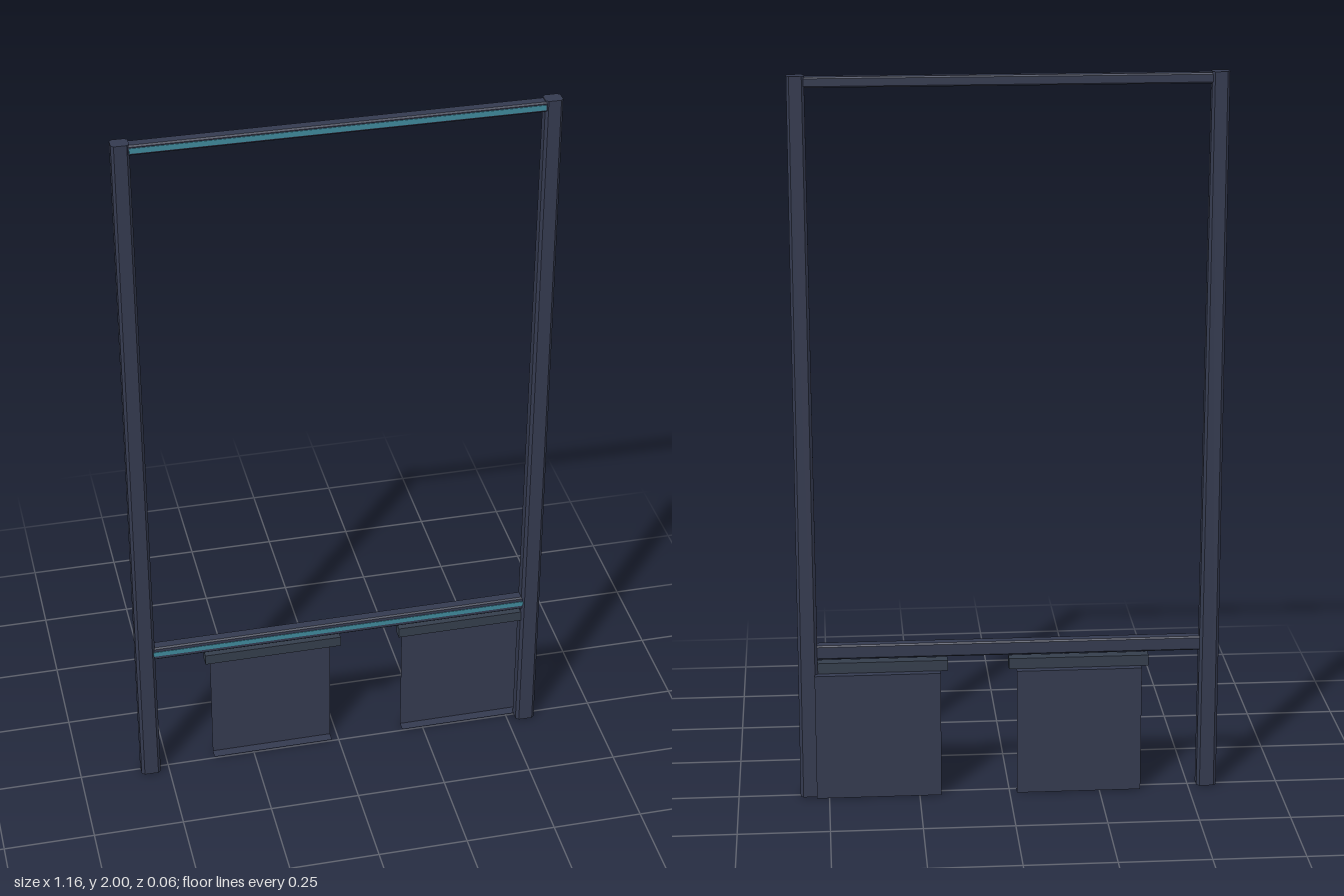
import * as THREE from 'three';

const mat = (name, color, side = THREE.FrontSide) => {
  const m = new THREE.MeshStandardMaterial({ color, side });
  m.name = name;
  return m;
};

// Bar with chamfered long edges, running along z from 0 to length
function chamferedBar(w, d, c, length) {
  const x = w / 2, y = d / 2;
  const s = new THREE.Shape([
    [-x + c, -y], [x - c, -y], [x, -y + c], [x, y - c],
    [x - c, y], [-x + c, y], [-x, y - c], [-x, -y + c],
  ].map(([a, b]) => new THREE.Vector2(a, b)));
  return new THREE.ExtrudeGeometry(s, { depth: length, bevelEnabled: false });
}

export function createModel() {
  const group = new THREE.Group();
  const frame = mat('slate frame', 0x343a4f);
  const sheet = mat('slate sheet', 0x343a4f, THREE.DoubleSide);
  const rail = mat('grey rail', 0x353e4c);
  const teal = mat('teal strip', 0x3f8a9c);

  const add = (name, geo, material, x, y, z, parent = group) => {
    const m = new THREE.Mesh(geo, material);
    m.name = name;
    m.position.set(x, y, z);
    parent.add(m);
    return m;
  };

  // Posts, tapering slightly towards the top
  const postGeo = chamferedBar(0.055, 0.046, 0.008, 2).rotateX(-Math.PI / 2);
  const p = postGeo.attributes.position;
  for (let i = 0; i < p.count; i++) {
    const k = 1 - 0.08 * p.getY(i);
    p.setX(i, p.getX(i) * k);
    p.setZ(i, p.getZ(i) * k);
  }
  postGeo.computeVertexNormals();
  add('leftPost', postGeo, frame, 0.552, 0, 0.005);
  add('rightPost', postGeo, frame, -0.552, 0, 0.005);

  // Crossbars with a thin coloured strip along the front
  for (const [name, y, h, strip] of [['topBar', 1.983, 0.028, 0.014], ['lowerBar', 0.421, 0.04, 0.014]]) {
    const geo = chamferedBar(0.032, h, 0.004, 1.07).rotateY(Math.PI / 2);
    add(name, geo, frame, -0.535, y, 0.006);
    add(name + 'Strip', new THREE.BoxGeometry(1.06, strip, 0.004), teal, 0, y, 0.0215);
  }

  // Hanging panels: header rail, thin sheet and folded flanges
  for (const [side, x] of [['left', 0.362], ['right', -0.192]]) {
    const panel = new THREE.Group();
    panel.name = side + 'Panel';
    panel.position.x = x;
    group.add(panel);
    add('headerRail', new THREE.BoxGeometry(0.386, 0.03, 0.03), rail, 0, 0.375, 0.006, panel);
    add('panelSheet', new THREE.PlaneGeometry(0.345, 0.36), sheet, 0, 0.18, -0.029, panel);
    for (const [name, y] of [['topFlange', 0.36], ['bottomFlange', 0.002]]) {
      const flange = new THREE.PlaneGeometry(0.345, 0.027).rotateX(-Math.PI / 2);
      add(name, flange, sheet, 0, y, -0.0155, panel);
    }
  }
  return group;
}
